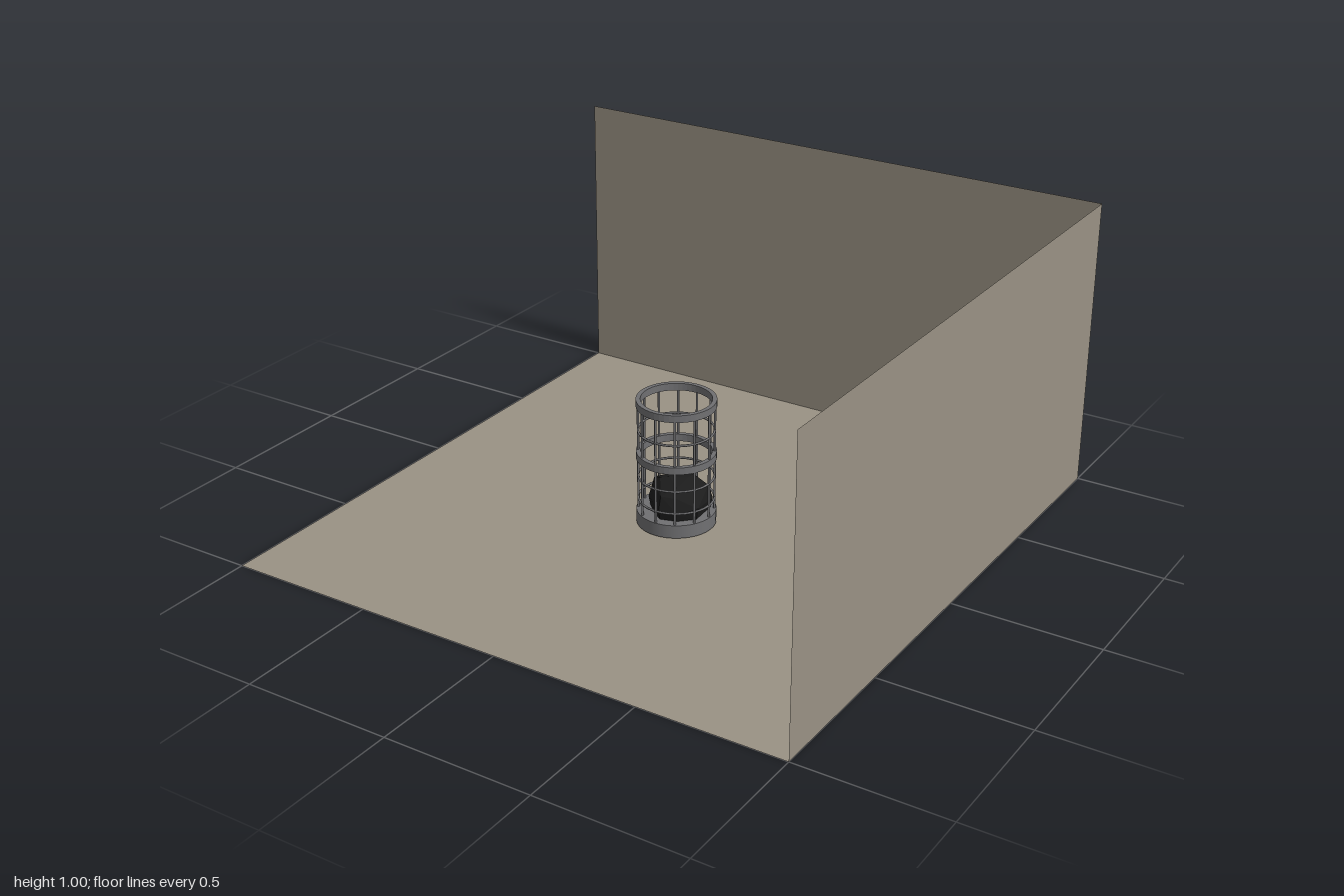
import * as THREE from 'three';
import { ConvexGeometry } from 'three/addons/geometries/ConvexGeometry.js';

const stone = new THREE.MeshStandardMaterial({ color: 0x9a9284, side: THREE.DoubleSide });
const iron = new THREE.MeshStandardMaterial({ color: 0x707072 });
const coalMat = new THREE.MeshStandardMaterial({ color: 0x1c1c1c, flatShading: true });

const R = 0.125; // radius of the basket's bar circle

function add(parent, name, geometry, material, x = 0, y = 0, z = 0) {
  const mesh = new THREE.Mesh(geometry, material);
  mesh.name = name;
  mesh.position.set(x, y, z);
  parent.add(mesh);
  return mesh;
}

// Flat hoop with a rectangular section
function hoop(y0, y1) {
  const shape = new THREE.Shape().absarc(0, 0, 0.132, 0, Math.PI * 2);
  shape.holes.push(new THREE.Path().absarc(0, 0, 0.117, 0, Math.PI * 2, true));
  return new THREE.ExtrudeGeometry(shape, { depth: y1 - y0, bevelEnabled: false, curveSegments: 24 })
    .rotateX(-Math.PI / 2).translate(0, y0, 0);
}

// Faceted lump: the outline is stacked at several heights with a slight shift per layer
function coalGeometry() {
  const outline = [
    [-0.05, -0.107], [0.012, -0.1], [0.05, -0.106], [0.1, -0.065], [0.108, 0.04],
    [0.06, 0.09], [0.0, 0.108], [-0.04, 0.08], [-0.09, 0.03], [-0.108, -0.015], [-0.08, -0.07],
  ];
  const layers = [[0.04, 0.92], [0.085, 1], [0.125, 0.88], [0.147, 0.62]];
  const points = [new THREE.Vector3(-0.02, 0.161, 0.01), new THREE.Vector3(0.03, 0.157, -0.03)];
  layers.forEach(([y, s], j) => outline.forEach(([x, z], i) => {
    const k = s * (1 - 0.06 * (j > 1 ? (i * 5 + j * 3) % 3 : 0));
    const dy = j ? 0.006 * ((i * 7 + j) % 3 - 1) : 0;
    points.push(new THREE.Vector3(x * k, y + dy, z * k));
  }));
  return new ConvexGeometry(points);
}

export function createModel() {
  const model = new THREE.Group();
  model.name = 'roomCornerWithFireBasket';

  // Room: floor, back wall and one side wall, all thin sheets
  add(model, 'floor', new THREE.PlaneGeometry(2, 2).rotateX(-Math.PI / 2), stone);
  add(model, 'backWall', new THREE.PlaneGeometry(2, 1), stone, 0, 0.5, -1);
  add(model, 'leftWall', new THREE.PlaneGeometry(2, 1).rotateY(-Math.PI / 2), stone, 1, 0.5, 0);

  // Fire basket
  const basket = new THREE.Group();
  basket.name = 'fireBasket';
  model.add(basket);
  add(basket, 'base', new THREE.CylinderGeometry(0.132, 0.132, 0.046, 40), iron, 0, 0.027, 0);
  add(basket, 'middleHoop', hoop(0.235, 0.26), iron);
  add(basket, 'topHoop', hoop(0.42, 0.445), iron);

  // Thin horizontal rings
  for (const y of [0.09, 0.17, 0.335]) {
    add(basket, 'wireRing', new THREE.TorusGeometry(R, 0.004, 6, 40).rotateX(Math.PI / 2), iron, 0, y, 0);
  }

  // Upright bars
  const bar = new THREE.CylinderGeometry(0.004, 0.004, 0.39, 8);
  for (let i = 0; i < 12; i++) {
    const a = (i / 12) * Math.PI * 2;
    add(basket, 'uprightBar', bar, iron, R * Math.sin(a), 0.24, R * Math.cos(a));
  }

  // Coal resting in the basket
  add(basket, 'coal', coalGeometry(), coalMat);
  return model;
}
